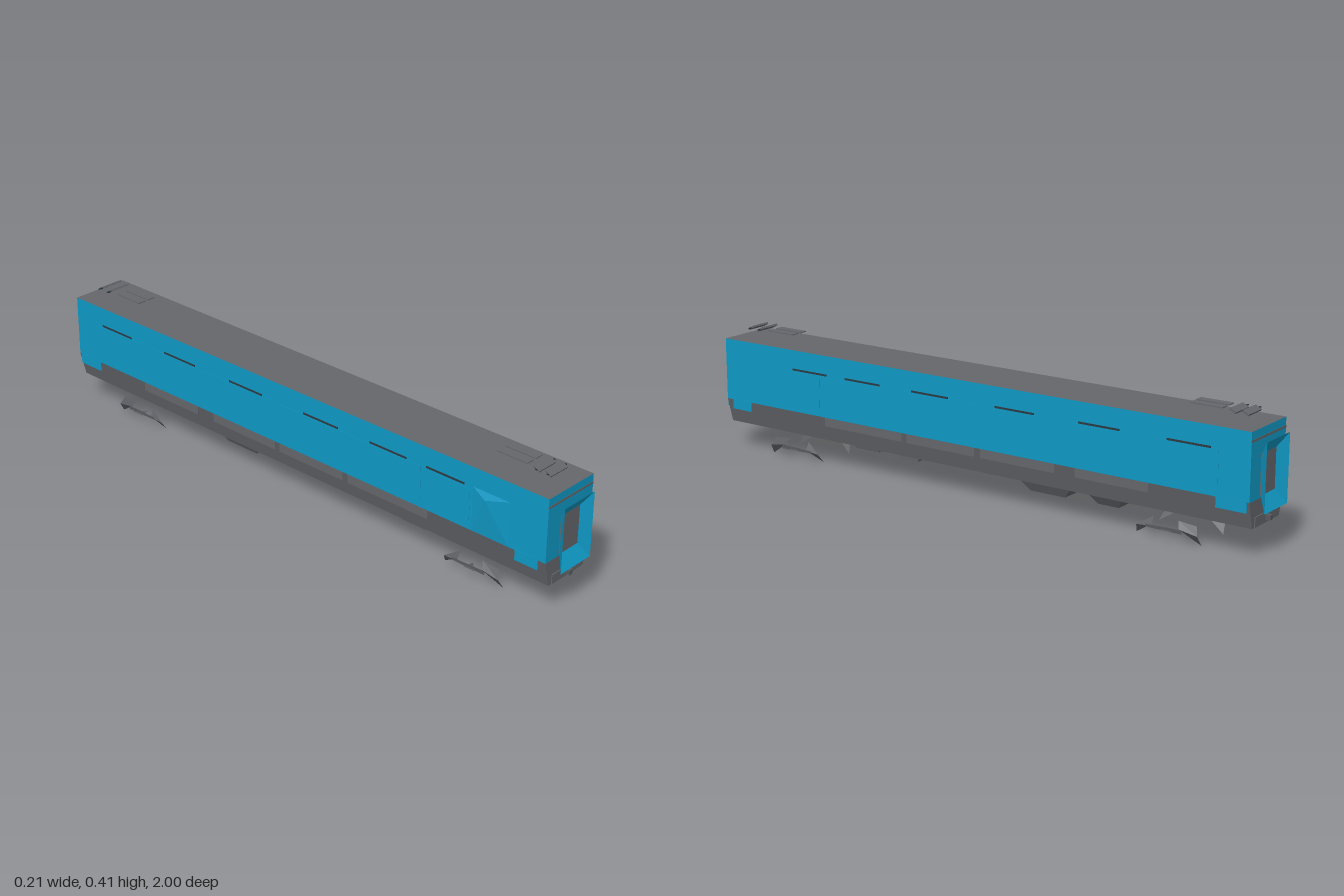
import * as THREE from 'three';

const mat = (name, color, side = THREE.FrontSide) => {
  const m = new THREE.MeshStandardMaterial({ color, side });
  m.name = name;
  return m;
};

export function createModel() {
  const blue = mat('body blue', 0x0f98c4);
  const openBlue = mat('gangway blue', 0x0f98c4, THREE.DoubleSide);
  const grey = mat('body grey', 0x64666b);
  const openGrey = mat('bogie grey', 0x585a5f, THREE.DoubleSide);
  const dark = mat('dark grey', 0x2c3a42);
  const model = new THREE.Group();
  model.name = 'railCar';
  const coach = new THREE.Group();
  coach.name = 'coach';
  coach.position.x = 0.004;
  model.add(coach);

  const add = (name, geometry, material, parent = coach) => {
    const m = new THREE.Mesh(geometry, material);
    m.name = name;
    parent.add(m);
    return m;
  };
  // Box given by its limits on each axis
  const box = (name, x0, x1, y0, y1, z0, z1, material, parent) => {
    const g = new THREE.BoxGeometry(x1 - x0, y1 - y0, z1 - z0);
    g.translate((x0 + x1) / 2, (y0 + y1) / 2, (z0 + z1) / 2);
    return add(name, g, material, parent);
  };
  // Flat-faced surface from triangles of points
  const facets = (name, triangles, material, parent) => {
    const g = new THREE.BufferGeometry();
    g.setAttribute('position', new THREE.Float32BufferAttribute(triangles.flat(2), 3));
    g.computeVertexNormals();
    return add(name, g, material, parent);
  };
  // Underfloor case that narrows towards the bottom
  const lump = (x, w, y, z0, z1, taper) => {
    const h = 0.092 - y;
    const g = new THREE.BoxGeometry(w, h, Math.abs(z1 - z0));
    const p = g.attributes.position;
    for (let i = 0; i < p.count; i++) {
      if (p.getY(i) < 0) p.setXYZ(i, p.getX(i) * taper, p.getY(i), p.getZ(i) * taper);
    }
    g.computeVertexNormals();
    g.translate(x, y + h / 2, (z0 + z1) / 2);
    add('underfloorCase', g, grey);
  };

  // Upper body with grey roof, and tapered skirt below
  box('upperBody', -0.0995, 0.0995, 0.171, 0.373, -0.97, 0.97, [blue, blue, grey, grey, blue, blue]);
  const skirt = new THREE.Shape();
  skirt.moveTo(-0.079, 0.091);
  skirt.lineTo(0.079, 0.091);
  skirt.lineTo(0.0995, 0.171);
  skirt.lineTo(-0.0995, 0.171);
  const skirtGeo = new THREE.ExtrudeGeometry(skirt, { depth: 1.94, bevelEnabled: false });
  skirtGeo.translate(0, 0, -0.97);
  add('skirt', skirtGeo, grey);

  // Side details, mirrored
  for (const s of [-1, 1]) {
    const plate = (name, z0, z1, y0, y1, material, t = 0.001) => {
      const a = s * 0.0985, b = s * (0.0995 + t);
      box(name, Math.min(a, b), Math.max(a, b), y0, y1, z0, z1, material);
    };
    plate('windowBand', -0.87, 0.52, 0.2, 0.305, blue);
    plate('sideDoor', 0.57, 0.7, 0.2, 0.3, blue);
    for (const z of [0.61, 0.395, 0.13, -0.185, -0.48, -0.775]) {
      plate('ventSlit', z - 0.07, z + 0.07, 0.307, 0.313, dark, 0.0015);
    }
    for (const [a, b] of [[0.24, 0.55], [-0.04, 0.22], [-0.33, -0.06], [-0.65, -0.4]]) {
      plate('skirtPanel', a, b, 0.143, 0.17, grey);
    }
    plate('frontCornerPatch', 0.865, 0.945, 0.14, 0.175, blue);
    plate('rearCornerPatch', -0.962, -0.865, 0.14, 0.175, blue);
  }

  // Door leaf standing slightly out of the right side
  const peak = [-0.109, 0.29, 0.76];
  const rim = [[-0.0995, 0.172, 0.71], [-0.0995, 0.172, 0.84], [-0.0995, 0.312, 0.84], [-0.0995, 0.312, 0.71]];
  facets('bulgedDoor', rim.map((p, i) => [p, rim[(i + 1) % 4], peak]), openBlue);

  // Ends: recessed gangway, door, header strip, lower panel and coupler
  for (const turn of [0, Math.PI]) {
    const end = new THREE.Group();
    end.name = turn ? 'rearEnd' : 'frontEnd';
    end.rotation.y = turn;
    coach.add(end);
    const outer = [[-0.067, 0.135, 1], [0.067, 0.135, 1], [0.067, 0.341, 1], [-0.067, 0.341, 1]];
    const inner = [[-0.041, 0.178, 0.973], [0.041, 0.178, 0.973], [0.041, 0.3, 0.973], [-0.041, 0.3, 0.973]];
    const walls = [];
    outer.forEach((p, i) => {
      const j = (i + 1) % 4;
      walls.push([p, outer[j], inner[j]], [p, inner[j], inner[i]]);
    });
    facets('gangway', walls, openBlue, end);
    box('gangwayDoor', -0.041, 0.041, 0.178, 0.3, 0.968, 0.973, grey, end);
    box('headerStrip', -0.0995, 0.0995, 0.342, 0.349, 0.968, 0.971, grey, end);
    box('bufferPanel', -0.067, 0.067, 0.092, 0.122, 0.968, 0.973, grey, end);
    box('coupler', -0.007, 0.007, 0.1, 0.115, 0.97, 0.988, openGrey, end);
  }

  // Roof equipment: two open frames and two slats at each end
  for (const s of [-1, 1]) {
    const gear = new THREE.Group();
    gear.name = s > 0 ? 'frontRoofGear' : 'rearRoofGear';
    gear.position.set(s > 0 ? 0.003 : -0.007, 0, s * 0.785);
    coach.add(gear);
    for (const x of [-0.017, 0.021]) {
      const frame = new THREE.Shape();
      frame.moveTo(-0.014, -0.053);
      frame.lineTo(0.014, -0.053);
      frame.lineTo(0.014, 0.053);
      frame.lineTo(-0.014, 0.053);
      const g = new THREE.ExtrudeGeometry(frame, { depth: 0.003, bevelEnabled: false });
      g.rotateX(-Math.PI / 2);
      g.translate(x, 0.403, 0);
      add('collectorFrame', g, grey, gear);
    }
    for (const z of [0.09, 0.13]) {
      const slat = add('collectorSlat', new THREE.BoxGeometry(0.074, 0.006, 0.022), grey, gear);
      slat.position.set(s > 0 ? -0.002 : 0.008, 0.404, s * z);
      slat.rotation.x = s * 0.5;
      box('slatHorn', -0.042, 0.042, 0.402, 0.405, s * z - 0.003, s * z + 0.003, dark, gear);
    }
  }

  // Underfloor equipment
  lump(-0.015, 0.07, 0.06, 0.39, 0.51, 0.75);
  lump(0.015, 0.05, 0.066, 0.22, 0.3, 0.9);
  lump(0.0, 0.12, 0.052, -0.17, -0.36, 0.65);
  lump(-0.01, 0.11, 0.075, -0.33, -0.43, 0.8);
  lump(0.005, 0.12, 0.056, -0.42, -0.54, 0.6);
  lump(0.01, 0.06, 0.078, 0.62, 0.72, 0.4);
  lump(0.0, 0.07, 0.076, -0.6, -0.7, 0.4);

  // Bogie sides: angular shards at both ends joined by a thin bar
  for (const end of [-1, 1]) {
    for (const s of [-1, 1]) {
      const bogie = new THREE.Group();
      bogie.name = 'bogieSide';
      coach.add(bogie);
      const p = (x, y, z) => [s * x, y, end * z];
      facets('outerWheelGuard', [
        [p(0.066, 0.066, 0.73), p(0.081, 0.035, 0.8), p(0.081, 0.045, 0.74)],
        [p(0.081, 0.045, 0.74), p(0.081, 0.035, 0.8), p(0.062, 0.004, 0.805)],
        [p(0.066, 0.066, 0.73), p(0.066, 0.06, 0.79), p(0.081, 0.035, 0.8)],
      ], openGrey, bogie);
      facets('innerWheelGuard', [
        [p(0.066, 0.066, 0.65), p(0.081, 0.035, 0.6), p(0.081, 0.042, 0.65)],
        [p(0.081, 0.035, 0.6), p(0.081, 0.038, 0.64), p(0.062, 0.006, 0.59)],
      ], openGrey, bogie);
      facets('bogieBar', [
        [p(0.082, 0.045, 0.75), p(0.082, 0.032, 0.75), p(0.082, 0.034, 0.63)],
        [p(0.082, 0.045, 0.75), p(0.082, 0.034, 0.63), p(0.082, 0.042, 0.63)],
        [p(0.09, 0.036, 0.72), p(0.058, 0.038, 0.69), p(0.09, 0.036, 0.68)],
      ], openGrey, bogie);
    }
  }
  return model;
}
